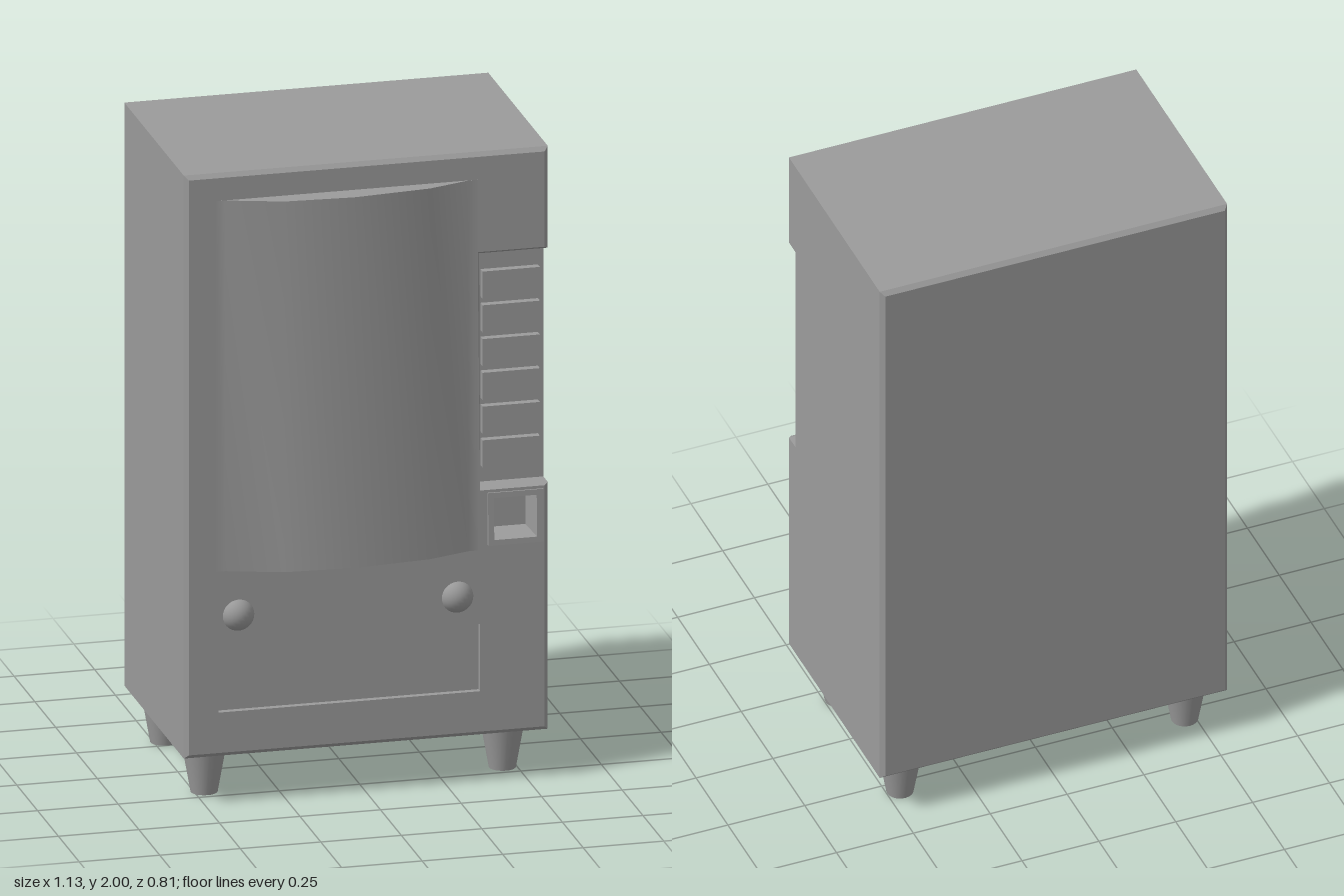
import * as THREE from 'three';
import { toCreasedNormals } from 'three/addons/utils/BufferGeometryUtils.js';

const W = 0.565, BOTTOM = 0.152, TOP = 2, BACK = -0.405, RECESS = 0.27, FRONT = 0.335, BEVEL = 0.013;

const material = new THREE.MeshStandardMaterial({ color: 0x9b9b9b });

function add(group, name, geometry, x = 0, y = 0, z = 0) {
  const mesh = new THREE.Mesh(geometry, material);
  mesh.name = name;
  mesh.position.set(x, y, z);
  group.add(mesh);
  return mesh;
}

const polygon = (Type, points) => new Type(points.map(([x, y]) => new THREE.Vector2(x, y)));
const rect = (Type, x0, x1, y0, y1) => polygon(Type, [[x0, y0], [x1, y0], [x1, y1], [x0, y1]]);

// Rear cabinet: a box whose back edge is chamfered
function cabinetGeometry() {
  const h = TOP - BOTTOM;
  const g = new THREE.BoxGeometry(2 * W, h, 2, 1, 1, 2);
  const p = g.attributes.position;
  for (let i = 0; i < p.count; i++) {
    const level = Math.round(p.getZ(i)) + 1;
    p.setZ(i, [BACK, BACK + BEVEL, RECESS][level]);
    if (level === 0) {
      p.setX(i, p.getX(i) * (1 - BEVEL / W));
      p.setY(i, p.getY(i) * (1 - 2 * BEVEL / h));
    }
  }
  const flat = g.toNonIndexed();
  flat.computeVertexNormals();
  return flat;
}

// Front door: slab with keypad notch, tray and coin openings, chamfered round its outer front edge
function doorGeometry() {
  const notch = { x: 0.352, y0: 0.935, y1: 1.677 };
  const shape = polygon(THREE.Shape, [
    [-W, BOTTOM], [W, BOTTOM], [W, notch.y0], [notch.x, notch.y0],
    [notch.x, notch.y1], [W, notch.y1], [W, TOP], [-W, TOP],
  ]);
  shape.holes.push(rect(THREE.Path, -0.46, 0.352, 0.293, 0.506));
  shape.holes.push(rect(THREE.Path, 0.385, 0.537, 0.765, 0.91));
  const g = new THREE.ExtrudeGeometry(shape, { depth: 2, steps: 2, bevelEnabled: false });
  const p = g.attributes.position;
  const near = (a, b) => Math.abs(a - b) < 1e-4;
  for (let i = 0; i < p.count; i++) {
    const level = Math.round(p.getZ(i)), x = p.getX(i), y = p.getY(i);
    p.setZ(i, [RECESS, FRONT - BEVEL, FRONT][level]);
    if (level < 2) continue;
    if (near(Math.abs(x), W)) p.setX(i, x - Math.sign(x) * BEVEL);
    if (near(y, TOP)) p.setY(i, TOP - BEVEL);
    if (near(y, BOTTOM)) p.setY(i, BOTTOM + BEVEL);
    if (near(y, notch.y0)) p.setY(i, y - 0.006);
    if (near(y, notch.y1)) {
      p.setY(i, y + 0.008);
      if (near(x, notch.x)) p.setX(i, x - 0.008);
    }
  }
  g.computeVertexNormals();
  return g;
}

// Coin slot: frame leaning outwards at the bottom, with an opening that narrows inwards
function coinSlotGeometry() {
  const x0 = 0.375, x1 = 0.547, y0 = 0.755, y1 = 0.92;
  const shape = rect(THREE.Shape, x0, x1, y0, y1);
  shape.holes.push(rect(THREE.Path, 0.393, 0.526, 0.772, 0.903));
  const g = new THREE.ExtrudeGeometry(shape, { depth: 1, bevelEnabled: false });
  const p = g.attributes.position;
  const cx = (x0 + x1) / 2, cy = (y0 + y1) / 2;
  for (let i = 0; i < p.count; i++) {
    const x = p.getX(i), y = p.getY(i);
    if (p.getZ(i) > 0.5) {
      p.setZ(i, THREE.MathUtils.mapLinear(y, y0, y1, 0.347, 0.34));
    } else {
      const inner = x > x0 + 0.01 && x < x1 - 0.01;
      p.setXYZ(i, inner ? cx + (x - cx) * 0.72 : x, inner ? cy + (y - cy) * 0.72 : y, RECESS - 0.005);
    }
  }
  g.computeVertexNormals();
  return g;
}

// Display panel: curved profile swept upwards, with flat lips that blend it into the door
function displayGeometry() {
  const profile = [
    [-0.47, 0.3355], [-0.44, 0.336], [-0.27, 0.39], [-0.055, 0.404], [0.185, 0.38], [0.315, 0.336],
    [0.345, 0.3355], [0.345, 0.32], [-0.47, 0.32],
  ];
  const shape = polygon(THREE.Shape, profile.map(([x, z]) => [x, -z]));
  const g = new THREE.ExtrudeGeometry(shape, { depth: 1.175, bevelEnabled: false });
  g.rotateX(-Math.PI / 2);
  return toCreasedNormals(g, 0.6);
}

export function createModel() {
  const model = new THREE.Group();
  model.name = 'vendingMachine';

  add(model, 'cabinet', cabinetGeometry(), 0, (BOTTOM + TOP) / 2, 0);
  add(model, 'frontDoor', doorGeometry());
  add(model, 'displayPanel', displayGeometry(), 0, 0.74, 0);
  add(model, 'coinSlot', coinSlotGeometry());

  // Shallow floor of the dispensing tray
  add(model, 'trayFlap', new THREE.BoxGeometry(0.812, 0.213, 0.06), -0.054, 0.3995, 0.285);

  // Column of selection buttons in the notch
  const keypad = new THREE.Group();
  keypad.name = 'selectionButtons';
  const button = new THREE.BoxGeometry(0.178, 0.087, 0.04);
  for (let i = 0; i < 6; i++) add(keypad, 'button', button, 0.459, 1.03 + i * 0.107, 0.275);
  model.add(keypad);

  // Round knobs above the tray
  const knob = new THREE.SphereGeometry(0.054, 24, 16);
  for (const x of [-0.398, 0.282]) add(model, 'knob', knob, x, 0.597, 0.313);

  // Tapered feet
  const foot = new THREE.CylinderGeometry(0.068, 0.041, BOTTOM, 24);
  for (const x of [-0.469, 0.457]) {
    for (const z of [0.195, -0.29]) add(model, 'foot', foot, x, BOTTOM / 2, z);
  }
  return model;
}
